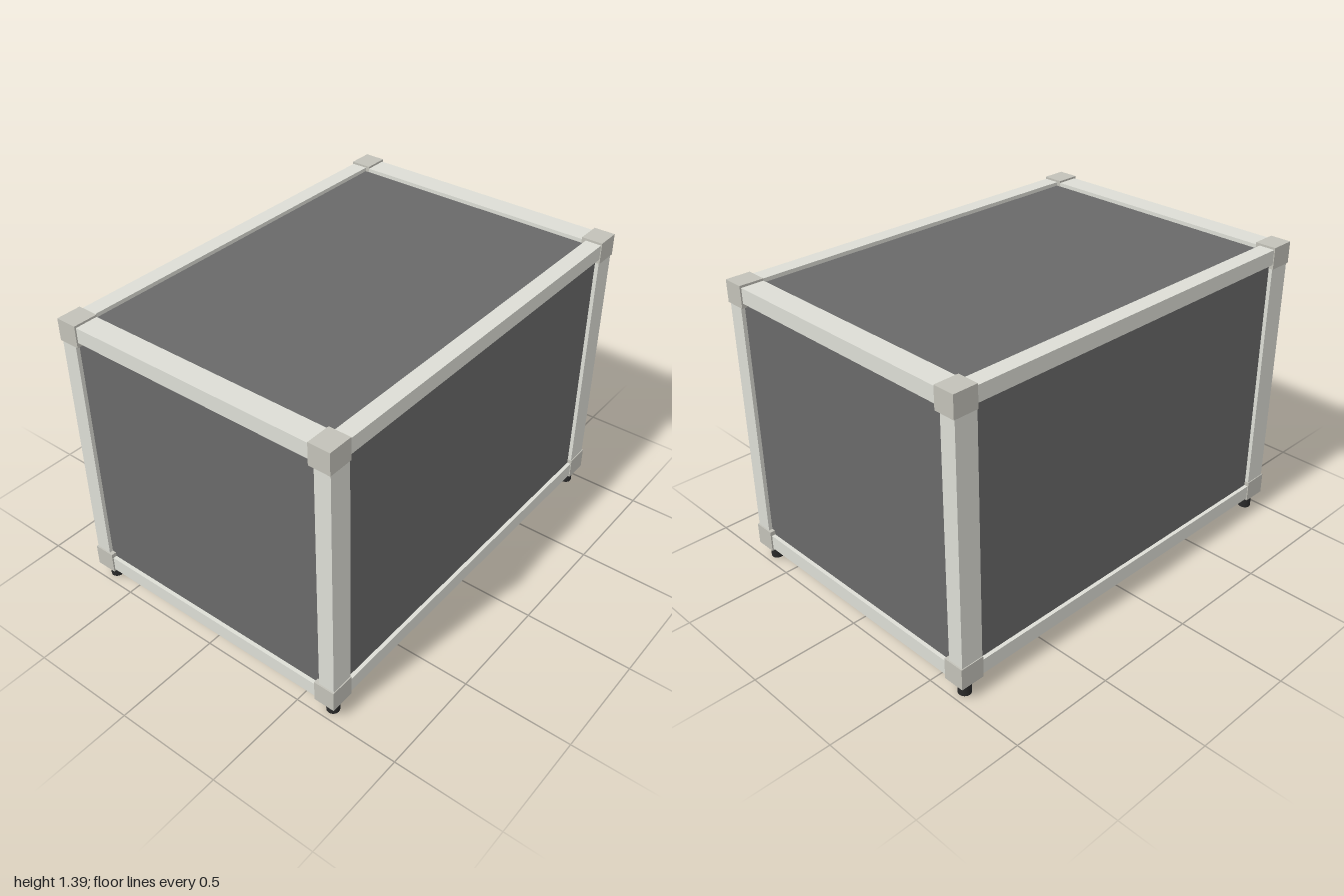
import * as THREE from 'three';

const material = (color) => new THREE.MeshStandardMaterial({ color, flatShading: true });

export function createModel() {
  const model = new THREE.Group();
  const frame = material(0xdcddd5);
  const joint = material(0xc2c1b8);
  const panel = material(0x696969);
  const rubber = new THREE.MeshStandardMaterial({ color: 0x2a2a2a });

  // Box given by its lower and upper corner
  function box(name, mat, [x0, y0, z0], [x1, y1, z1]) {
    const mesh = new THREE.Mesh(new THREE.BoxGeometry(x1 - x0, y1 - y0, z1 - z0), mat);
    mesh.position.set((x0 + x1) / 2, (y0 + y1) / 2, (z0 + z1) / 2);
    mesh.name = name;
    model.add(mesh);
  }
  // Box given by centre and size
  function block(name, mat, c, s) {
    box(name, mat, c.map((v, i) => v - s[i] / 2), c.map((v, i) => v + s[i] / 2));
  }

  const midY = 0.731; // height of the case centre
  const outer = [0.69, 0.648, 0.993]; // half extents of the frame
  const bar = [0.076, 0.07, 0.107]; // bar thickness along each axis
  const centre = outer.map((v, i) => v - bar[i] / 2); // bar centre lines
  const reach = [0.6, 0.56, 0.89]; // bars end inside the corner blocks
  const recess = 0.018;
  const thick = 0.02;

  // Four frame bars along each axis
  const barNames = ['crossRail', 'post', 'sideRail'];
  for (let axis = 0; axis < 3; axis++) {
    const [a, b] = [0, 1, 2].filter((i) => i !== axis);
    for (const sa of [-1, 1]) for (const sb of [-1, 1]) {
      const c = [0, 0, 0];
      c[a] = sa * centre[a];
      c[b] = sb * centre[b];
      const size = [...bar];
      size[axis] = reach[axis] * 2;
      c[1] += midY;
      block(barNames[axis], frame, c, size);
    }
  }

  // Recessed panels on all six sides
  const panelNames = [['rightPanel', 'leftPanel'], ['bottomPanel', 'topPanel'], ['backPanel', 'frontPanel']];
  for (let axis = 0; axis < 3; axis++) {
    [-1, 1].forEach((s, k) => {
      const c = [0, midY, 0];
      c[axis] += s * (outer[axis] - recess - thick / 2);
      const size = outer.map((v, i) => 2 * (v - bar[i]) + 0.02);
      size[axis] = thick;
      block(panelNames[axis][k], panel, c, size);
    });
  }

  // Corner blocks and feet
  const footGeometry = new THREE.CylinderGeometry(0.029, 0.029, 0.075, 24);
  for (const sx of [-1, 1]) for (const sz of [-1, 1]) {
    for (const sy of [-1, 1]) {
      block('cornerBlock', joint, [sx * 0.644, midY + sy * 0.6075, sz * 0.9425], [0.1, 0.101, 0.115]);
    }
    const foot = new THREE.Mesh(footGeometry, rubber);
    foot.name = 'foot';
    foot.position.set(sx * 0.645, 0.0375, sz * 0.943);
    model.add(foot);
  }
  return model;
}
